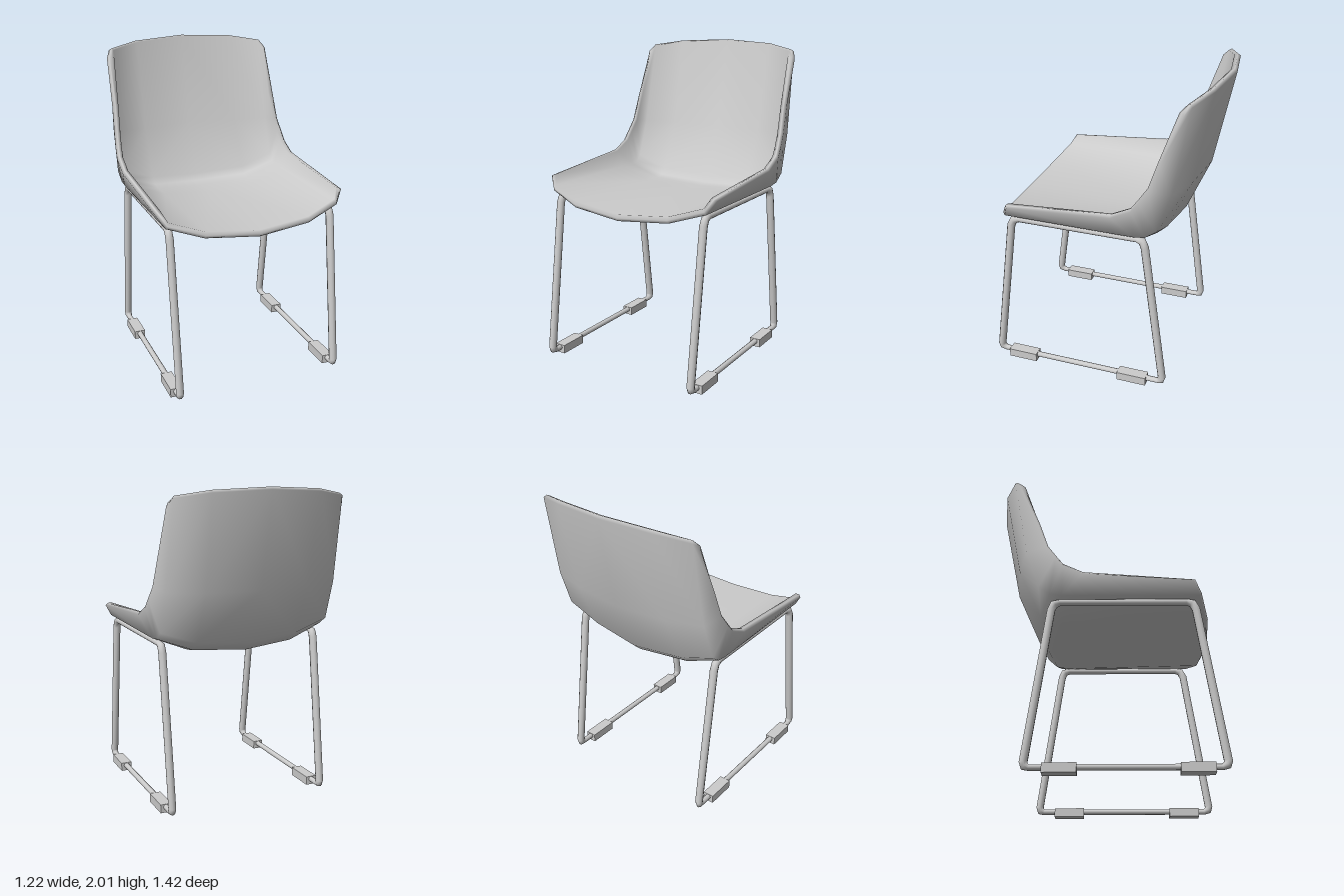
import * as THREE from 'three';

const material = new THREE.MeshStandardMaterial({ color: 0xcccccc });

function meshFrom(positions, index, name) {
  const geo = new THREE.BufferGeometry();
  geo.setAttribute('position', new THREE.Float32BufferAttribute(positions.flatMap((p) => p.toArray()), 3));
  geo.setIndex(index);
  geo.computeVertexNormals();
  const mesh = new THREE.Mesh(geo, material);
  mesh.name = name;
  return mesh;
}

// Half cross-sections of the shell's underside, front edge to top of back:
// centre, middle, corner and rim, each [x, y, z]
const SECTIONS = [
  [[0, 1.0, 0.66], [0.34, 1.03, 0.635], [0.56, 1.1, 0.58], [0.61, 1.18, 0.54]],
  [[0, 0.988, -0.13], [0.34, 1.015, -0.13], [0.565, 1.1, -0.13], [0.61, 1.228, -0.13]],
  [[0, 0.985, -0.3], [0.34, 1.01, -0.27], [0.565, 1.1, -0.26], [0.61, 1.29, -0.255]],
  [[0, 1.0, -0.38], [0.34, 1.025, -0.345], [0.567, 1.11, -0.33], [0.605, 1.35, -0.3]],
  [[0, 1.055, -0.44], [0.34, 1.08, -0.405], [0.57, 1.16, -0.4], [0.595, 1.43, -0.355]],
  [[0, 1.4, -0.59], [0.34, 1.4, -0.55], [0.565, 1.41, -0.485], [0.585, 1.6, -0.415]],
  [[0, 1.99, -0.71], [0.35, 1.975, -0.66], [0.55, 1.945, -0.58], [0.575, 1.9, -0.54]],
];

// One-piece seat and back with an even wall and a rounded rim
function createShell() {
  const thickness = 0.04;
  const rows = SECTIONS.length, cols = 7;
  const outer = [];
  for (const s of SECTIONS) {
    for (let j = -3; j <= 3; j++) {
      const [x, y, z] = s[Math.abs(j)];
      outer.push(new THREE.Vector3(Math.sign(j) * x, y, z));
    }
  }
  const id = (i, j) => i * cols + j;
  const index = [];
  for (let i = 0; i < rows - 1; i++) {
    for (let j = 0; j < cols - 1; j++) {
      const a = id(i, j), b = id(i, j + 1), c = id(i + 1, j + 1), d = id(i + 1, j);
      // mirror the diagonals about the centre line
      if (j < 3) index.push(a, d, c, a, c, b);
      else index.push(a, d, b, b, d, c);
    }
  }

  // inner face: the outer one offset along its normals
  const normals = meshFrom(outer, index, '').geometry.attributes.normal;
  const inner = outer.map((p, k) =>
    p.clone().addScaledVector(new THREE.Vector3().fromBufferAttribute(normals, k), -thickness));
  const n = outer.length;
  const points = [...outer, ...inner];
  const faces = [...index];
  for (let k = 0; k < index.length; k += 3) {
    faces.push(index[k] + n, index[k + 2] + n, index[k + 1] + n);
  }

  // rim: walk round the border and bulge it slightly outwards
  const loop = [];
  for (let j = 0; j < cols - 1; j++) loop.push([0, j]);
  for (let i = 0; i < rows - 1; i++) loop.push([i, cols - 1]);
  for (let j = cols - 1; j > 0; j--) loop.push([rows - 1, j]);
  for (let i = rows - 1; i > 0; i--) loop.push([i, 0]);
  const clamp = THREE.MathUtils.clamp;
  loop.forEach(([i, j]) => {
    const k = id(i, j);
    const inward = id(clamp(i, 1, rows - 2), clamp(j, 1, cols - 2));
    const push = outer[k].clone().sub(outer[inward]).normalize();
    points.push(outer[k].clone().lerp(inner[k], 0.5).addScaledVector(push, 0.012));
  });
  loop.forEach(([i, j], k) => {
    const next = (k + 1) % loop.length;
    const o0 = id(i, j), o1 = id(...loop[next]);
    const m0 = 2 * n + k, m1 = 2 * n + next;
    faces.push(o0, o1, m1, o0, m1, m0);
    faces.push(m0, m1, o1 + n, m0, o1 + n, o0 + n);
  });
  return meshFrom(points, faces, 'seatShell');
}

// Closed side frame in the yz plane: [z, y, radius], with mitred bends
const FRAME = [
  [0.5, 1.07, 0.02], [0.535, 1.06, 0.024], [0.555, 1.02, 0.025],
  [0.688, 0.07, 0.025], [0.682, 0.048, 0.023], [0.655, 0.037, 0.018],
  [-0.42, 0.037, 0.018], [-0.443, 0.045, 0.023], [-0.45, 0.07, 0.025],
  [-0.322, 1.02, 0.025], [-0.305, 1.06, 0.024], [-0.27, 1.07, 0.02],
];

function createSideFrame() {
  const sides = 10, count = FRAME.length;
  const path = FRAME.map(([z, y]) => new THREE.Vector3(0, y, z));
  const across = new THREE.Vector3(1, 0, 0);
  const points = [], index = [];
  path.forEach((p, i) => {
    const before = p.clone().sub(path[(i + count - 1) % count]).normalize();
    const after = path[(i + 1) % count].clone().sub(p).normalize();
    const tangent = before.clone().add(after).normalize();
    const normal = new THREE.Vector3().crossVectors(tangent, across);
    const radius = FRAME[i][2], mitre = radius / tangent.dot(after);
    for (let s = 0; s < sides; s++) {
      const a = (s / sides) * Math.PI * 2;
      points.push(p.clone()
        .addScaledVector(across, radius * Math.cos(a))
        .addScaledVector(normal, mitre * Math.sin(a)));
      const s1 = (s + 1) % sides, r0 = i * sides, r1 = ((i + 1) % count) * sides;
      index.push(r0 + s, r1 + s1, r0 + s1, r0 + s, r1 + s, r1 + s1);
    }
  });
  // ring runs from across to normal, so flip to face outwards
  for (let k = 0; k < index.length; k += 3) [index[k + 1], index[k + 2]] = [index[k + 2], index[k + 1]];
  return meshFrom(points, index, 'legFrame');
}

export function createModel() {
  const chair = new THREE.Group();
  chair.name = 'chair';
  chair.add(createShell());

  for (const side of [-1, 1]) {
    const base = new THREE.Group();
    base.name = side > 0 ? 'leftBase' : 'rightBase';
    base.position.x = side * 0.528;
    base.add(createSideFrame());
    // floor glides
    for (const [name, z] of [['frontGlide', 0.52], ['backGlide', -0.25]]) {
      const glide = new THREE.Mesh(new THREE.BoxGeometry(0.072, 0.056, 0.195), material);
      glide.name = name;
      glide.position.set(0, 0.028, z);
      base.add(glide);
    }
    chair.add(base);
  }
  return chair;
}
